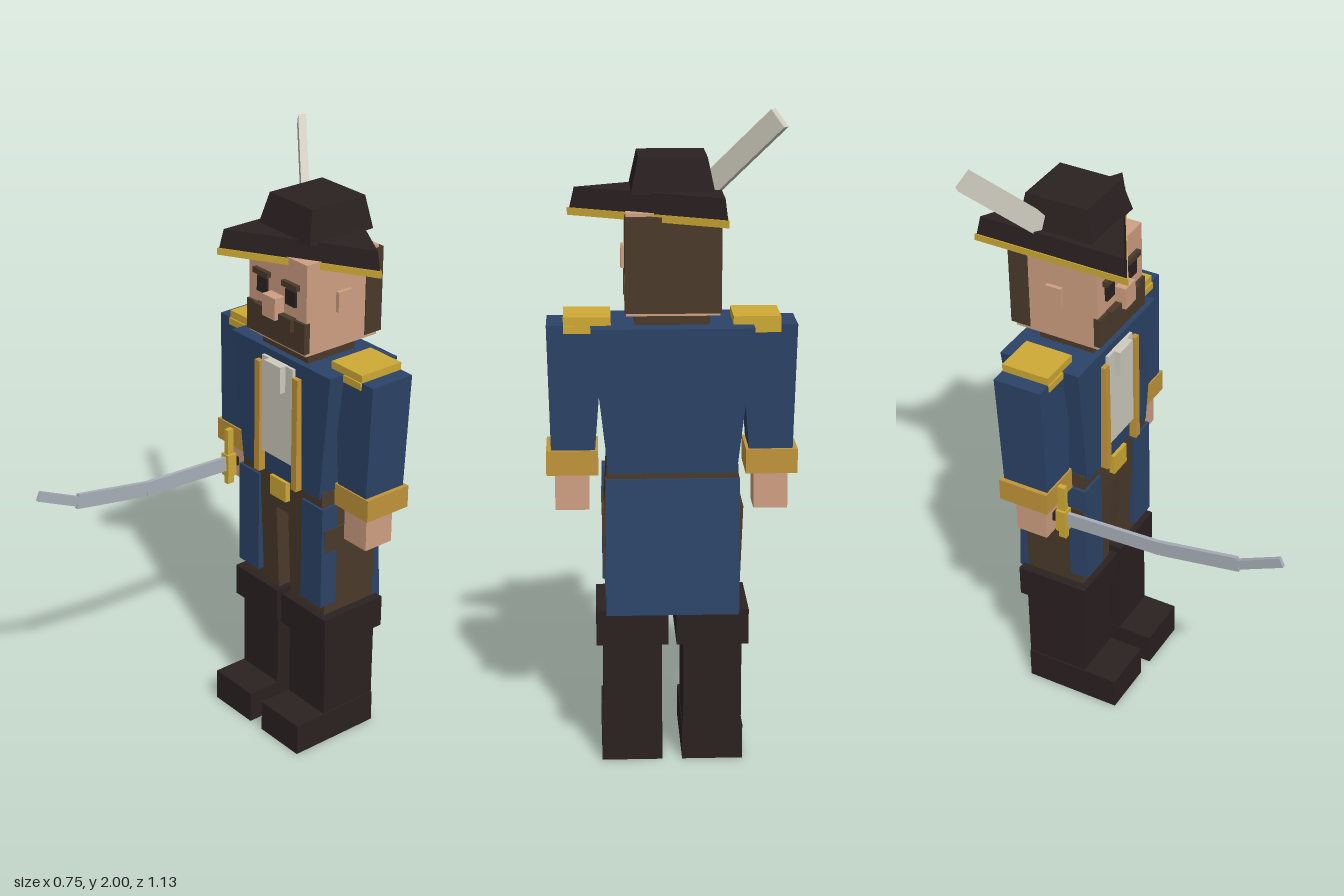
import * as THREE from 'three';

const paint = (name, color) => {
  const m = new THREE.MeshStandardMaterial({ color, flatShading: true });
  m.name = name;
  return m;
};

export function createModel() {
  const model = new THREE.Group();
  model.name = 'swordsman';
  const navy = paint('navy cloth', 0x2c4468);
  const skin = paint('skin', 0xd0a082);
  const brown = paint('dark brown', 0x4b3a2b);
  const black = paint('black leather', 0x2b2121);
  const cream = paint('cream', 0xd0ccbf);
  const steel = paint('steel', 0xa9b0b8);
  const gold = paint('bright gold', 0xcfaa35);
  const trim = paint('old gold', 0xc2953a);

  const add = (name, geometry, material) => {
    const mesh = new THREE.Mesh(geometry, material);
    mesh.name = name;
    model.add(mesh);
    return mesh;
  };

  // Block with separate [x0, x1, z0, z1] rectangles at its bottom and top
  const block = (name, mat, y0, y1, low, high = low) => {
    const g = new THREE.BoxGeometry(1, 1, 1);
    const p = g.attributes.position;
    for (let i = 0; i < p.count; i++) {
      const up = p.getY(i) > 0;
      const r = up ? high : low;
      p.setXYZ(i, r[p.getX(i) > 0 ? 1 : 0], up ? y1 : y0, r[p.getZ(i) > 0 ? 3 : 2]);
    }
    g.computeVertexNormals();
    return add(name, g, mat);
  };

  // The same block on both sides of x = 0
  const pair = (name, mat, y0, y1, low, high = low) => {
    const flip = ([a, b, c, d]) => [-b, -a, c, d];
    block('left ' + name, mat, y0, y1, low, high);
    block('right ' + name, mat, y0, y1, flip(low), flip(high));
  };

  // Boots and legs
  pair('foot', black, 0, 0.11, [0.03, 0.215, -0.405, -0.075]);
  pair('boot shaft', black, 0.11, 0.38, [0.032, 0.21, -0.405, -0.193]);
  pair('boot cuff', black, 0.38, 0.49, [0.012, 0.23, -0.42, -0.172]);
  pair('leg', brown, 0.48, 0.81, [0.03, 0.2, -0.4, -0.195], [0.03, 0.212, -0.4, -0.18]);
  block('hips', brown, 0.8, 0.94, [-0.205, 0.205, -0.405, -0.18], [-0.195, 0.195, -0.405, -0.178]);
  block('belt buckle', gold, 0.85, 0.92, [-0.04, 0.04, -0.2, -0.16]);

  // Coat
  block('coat body', navy, 0.92, 1.36, [-0.19, 0.19, -0.42, -0.172], [-0.24, 0.24, -0.4375, -0.163]);
  block('coat back tail', navy, 0.48, 0.9, [-0.2, 0.2, -0.435, -0.395], [-0.2, 0.2, -0.415, -0.38]);
  pair('coat front tail', navy, 0.53, 0.89, [0.108, 0.209, -0.235, -0.17]);
  pair('coat edging', trim, 0.92, 1.31, [0.08, 0.105, -0.2, -0.147]);
  block('shirt', cream, 1.0, 1.335, [-0.075, 0.075, -0.2, -0.153]);
  block('cravat', cream, 1.245, 1.335, [-0.04, 0.04, -0.17, -0.132]);

  // Arms
  pair('sleeve', navy, 0.97, 1.36, [0.23, 0.36, -0.37, -0.215], [0.2, 0.37, -0.38, -0.22]);
  pair('sleeve cuff', trim, 0.905, 0.98, [0.22, 0.375, -0.38, -0.21]);
  pair('hand', skin, 0.785, 0.91, [0.247, 0.35, -0.338, -0.23]);
  pair('epaulette', gold, 1.357, 1.385, [0.18, 0.32, -0.38, -0.22]);
  pair('epaulette drop', gold, 1.337, 1.36, [0.24, 0.32, -0.383, -0.215]);

  // Head and face
  block('neck', brown, 1.355, 1.41, [-0.11, 0.11, -0.375, -0.185]);
  block('head', skin, 1.4, 1.7, [-0.137, 0.137, -0.44, -0.152]);
  block('hair', brown, 1.41, 1.69, [-0.14, 0.14, -0.457, -0.39]);
  block('beard', brown, 1.41, 1.51, [-0.139, 0.139, -0.165, -0.143]);
  block('moustache', brown, 1.472, 1.515, [-0.09, 0.09, -0.15, -0.128]);
  block('nose', skin, 1.495, 1.567, [-0.031, 0.031, -0.16, -0.115]);
  pair('ear', skin, 1.52, 1.587, [0.13, 0.15, -0.325, -0.27]);
  pair('eye', black, 1.55, 1.6, [0.045, 0.092, -0.152, -0.144]);
  pair('eyebrow', brown, 1.608, 1.626, [0.033, 0.105, -0.16, -0.137]);

  // Three-cornered hat, one corner toward the model's left
  const brim = (name, mat, rTop, rLow, y0, y1) => {
    const g = new THREE.CylinderGeometry(rTop, rLow, y1 - y0, 3, 1, false, Math.PI / 2);
    add(name, g, mat).position.set(0, (y0 + y1) / 2, -0.3);
  };
  brim('hat edging', gold, 0.305, 0.305, 1.675, 1.697);
  brim('hat brim', black, 0.284, 0.298, 1.697, 1.757);
  block('hat crown', black, 1.75, 1.855, [-0.122, 0.122, -0.427, -0.173], [-0.1, 0.1, -0.41, -0.2]);

  // Bar running from one point to another
  const bar = (name, mat, from, to, width, height) => {
    const a = new THREE.Vector3(...from);
    const b = new THREE.Vector3(...to);
    const mesh = add(name, new THREE.BoxGeometry(width, height, a.distanceTo(b)), mat);
    mesh.position.copy(a).lerp(b, 0.5);
    mesh.lookAt(b);
  };
  bar('feather', cream, [-0.1, 1.755, -0.345], [-0.297, 1.975, -0.49], 0.025, 0.065);

  // Curved sword held in the right hand
  const spine = [[-0.3, 0.845, -0.2], [-0.3, 0.86, 0.145], [-0.3, 0.906, 0.415], [-0.3, 0.972, 0.557]];
  const depths = [0.05, 0.05, 0.032];
  depths.forEach((d, i) => bar('sword blade ' + (i + 1), steel, spine[i], spine[i + 1], 0.013, d));
  block('sword guard', gold, 0.8, 0.88, [-0.318, -0.282, -0.215, -0.18]);
  block('sword hand bow', gold, 0.77, 0.97, [-0.309, -0.291, -0.21, -0.185]);
  block('sword grip', black, 0.83, 0.86, [-0.312, -0.288, -0.32, -0.2]);

  return model;
}
